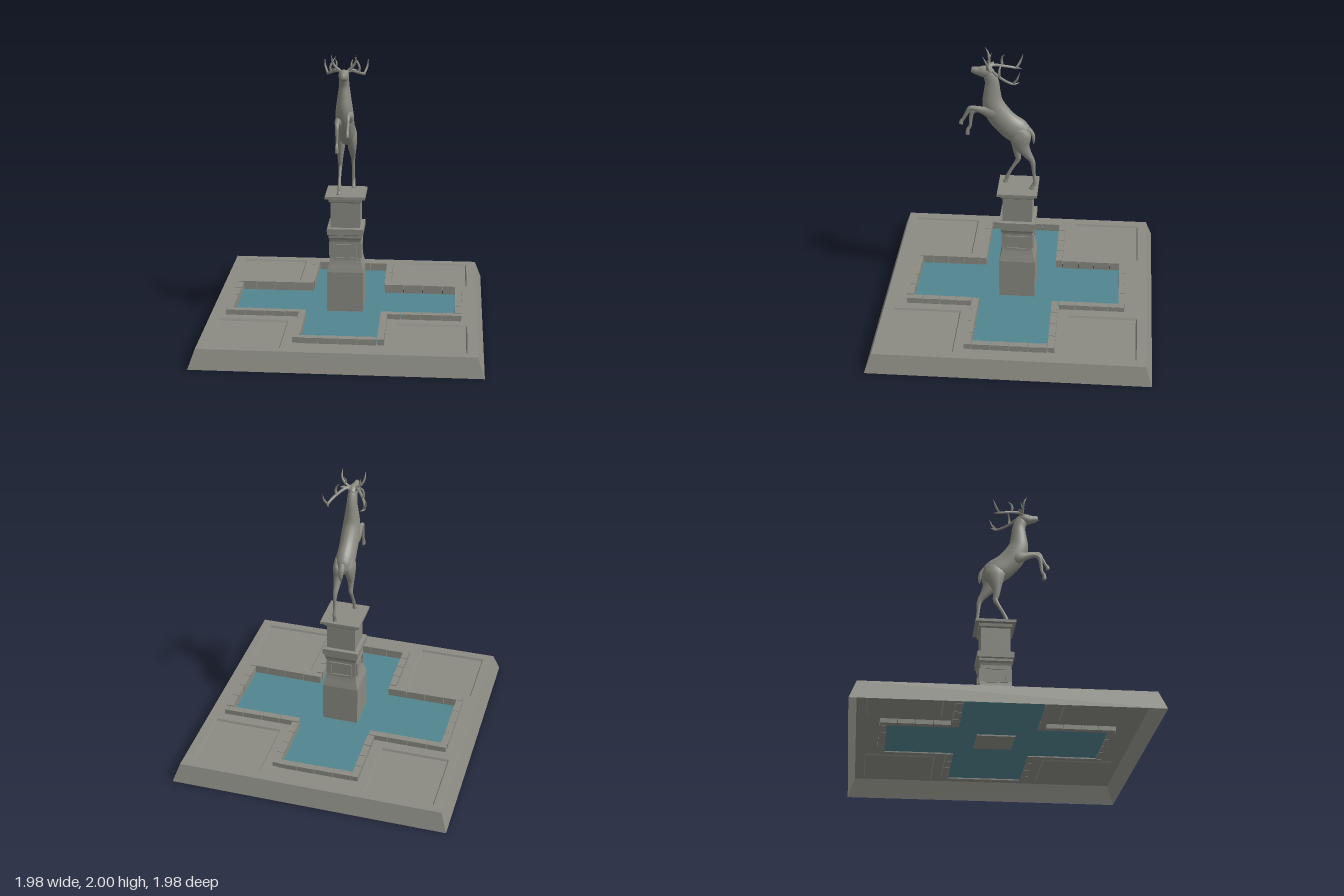
import * as THREE from 'three';

const stone = new THREE.MeshStandardMaterial({ color: 0x8b8b83, flatShading: true, side: THREE.DoubleSide });
const smooth = new THREE.MeshStandardMaterial({ color: 0x8b8b83, side: THREE.DoubleSide });
const blue = new THREE.MeshStandardMaterial({ color: 0x51868f, side: THREE.DoubleSide });

function add(parent, name, geometry, material = stone) {
  const mesh = new THREE.Mesh(geometry, material);
  mesh.name = name;
  parent.add(mesh);
  return mesh;
}

// Square solid of revolution from [halfWidth, y] pairs
function squareLathe(profile) {
  const pts = profile.map(([w, y]) => new THREE.Vector2(w * Math.SQRT2, y));
  return new THREE.LatheGeometry(pts, 4).rotateY(Math.PI / 4);
}

// Tapered organic form through sections [x, y, z, halfWidth, halfDepth]
function loft(sections, ref = [1, 0, 0], radial = 14) {
  const path = new THREE.CatmullRomCurve3(sections.map(s => new THREE.Vector3(s[0], s[1], s[2])));
  const size = new THREE.CatmullRomCurve3(
    sections.map(s => new THREE.Vector3(s[3], s[4] ?? s[3], 0)), false, 'catmullrom');
  const n = (sections.length - 1) * 4, pos = [], idx = [];
  for (let i = 0; i <= n; i++) {
    const c = path.getPoint(i / n), r = size.getPoint(i / n), t = path.getTangent(i / n);
    const side = new THREE.Vector3(...ref).addScaledVector(t, -t.dot(new THREE.Vector3(...ref))).normalize();
    const nrm = t.clone().cross(side);
    for (let k = 0; k < radial; k++) {
      const a = k / radial * Math.PI * 2;
      const p = c.clone().addScaledVector(side, Math.cos(a) * r.x).addScaledVector(nrm, Math.sin(a) * r.y);
      pos.push(p.x, p.y, p.z);
    }
  }
  const start = (n + 1) * radial;
  pos.push(...path.getPoint(0).toArray(), ...path.getPoint(1).toArray());
  for (let k = 0; k < radial; k++) {
    const k1 = (k + 1) % radial, last = n * radial;
    for (let i = 0; i < n; i++) {
      const a = i * radial + k, a1 = i * radial + k1;
      idx.push(a, a1, a + radial, a1, a1 + radial, a + radial);
    }
    idx.push(start, k1, k, start + 1, last + k, last + k1);
  }
  const g = new THREE.BufferGeometry();
  g.setAttribute('position', new THREE.Float32BufferAttribute(pos, 3));
  g.setIndex(idx);
  g.computeVertexNormals();
  return g;
}

const outline = pts => pts.map(([x, y]) => new THREE.Vector2(x, y));
const rect = (x0, y0, x1, y1) => outline([[x0, y0], [x1, y0], [x1, y1], [x0, y1]]);
const cross = (w, lx, lz) => outline([[w, w], [lx, w], [lx, -w], [w, -w], [w, -lz], [-w, -lz],
  [-w, -w], [-lx, -w], [-lx, w], [-w, w], [-w, lz], [w, lz]]);
const flat = (shape, y) => new THREE.ShapeGeometry(shape).rotateX(-Math.PI / 2).translate(0, y, 0);
const quadrants = [[1, 1], [1, -1], [-1, 1], [-1, -1]];

function buildBase(root) {
  const base = new THREE.Group();
  base.name = 'base';
  root.add(base);
  add(base, 'slopedSides', squareLathe([[0.99, 0], [0.943, 0.132]]));
  const deck = new THREE.Shape(rect(-0.943, -0.943, 0.943, 0.943));
  deck.holes.push(new THREE.Path(cross(0.285, 0.81, 0.765)));
  for (const [sx, sz] of quadrants) {
    const cx = sx * 0.627, cz = sz * 0.632;
    deck.holes.push(new THREE.Path(rect(cx - 0.247, -cz - 0.247, cx + 0.247, -cz + 0.247)));
    // Sunken square bed
    add(base, 'sunkenBed', squareLathe([[0, 0.117], [0.239, 0.117], [0.247, 0.132]])).position.set(cx, 0, cz);
  }
  add(base, 'deck', flat(deck, 0.132));
  add(base, 'water', flat(new THREE.Shape(cross(0.275, 0.795, 0.755)), 0.11), blue);

  // Coping stones around the cross-shaped pool
  let count = 0;
  const row = (x0, z0, x1, z1) => {
    const n = 4, alongX = x0 !== x1, step = ((x1 - x0) + (z1 - z0)) / n;
    for (let i = 0; i < n; i++) {
      const j = Math.sin(++count * 12.9) * 0.003, len = Math.abs(step) - 0.004;
      const g = new THREE.BoxGeometry(alongX ? len : 0.048, 0.07 + j, alongX ? 0.048 : len);
      const m = add(base, 'copingStone', g);
      const d = step * (i + 0.5);
      m.position.set(x0 + (alongX ? d : j), 0.136 + j / 2, z0 + (alongX ? j : d));
      m.rotation.set(alongX ? 0 : j * 4, j * 3, alongX ? j * 4 : 0);
    }
  };
  for (const s of [1, -1]) {
    row(-0.263, s * 0.765, 0.263, s * 0.765);
    row(s * 0.81, -0.263, s * 0.81, 0.263);
  }
  for (const [sx, sz] of quadrants) {
    row(sx * 0.265, sz * 0.29, sx * 0.835, sz * 0.29);
    row(sx * 0.287, sz * 0.315, sx * 0.287, sz * 0.788);
  }
}

function buildPedestal(root) {
  const pedestal = new THREE.Group();
  pedestal.name = 'pedestal';
  root.add(pedestal);
  add(pedestal, 'plinth', squareLathe([[0, 0.1], [0.13, 0.1], [0.13, 0.405], [0.122, 0.437], [0, 0.437]]));
  add(pedestal, 'shaft', squareLathe([[0.122, 0.437], [0.116, 0.46], [0.111, 0.485], [0.108, 0.51], [0.108, 0.63],
    [0.112, 0.645], [0.119, 0.66], [0.119, 0.678], [0.129, 0.684], [0.129, 0.728], [0.104, 0.732]]));
  add(pedestal, 'upperBlock', squareLathe([[0.104, 0.732], [0.104, 0.915], [0.115, 0.923], [0.118, 0.945],
    [0.142, 0.95], [0.142, 0.97], [0, 0.97]]));
  // Framed panel on each face
  const frame = new THREE.Shape(rect(-0.083, 0.5, 0.083, 0.612));
  frame.holes.push(new THREE.Path(rect(-0.068, 0.513, 0.068, 0.599)));
  const g = new THREE.ExtrudeGeometry(frame, { depth: 0.012, bevelEnabled: false }).translate(0, 0, 0.104);
  for (let i = 0; i < 4; i++) add(pedestal, 'panelFrame', g).rotation.y = i * Math.PI / 2;
}

function buildStag(root) {
  const stag = new THREE.Group();
  stag.name = 'stag';
  root.add(stag);
  const part = (name, sections, ref, radial) => add(stag, name, loft(sections, ref, radial), smooth);

  part('bodyAndNeck', [[0, 1.375, -0.085, 0.02, 0.03], [0, 1.385, -0.05, 0.052, 0.07], [0, 1.41, 0.008, 0.066, 0.092],
    [0, 1.47, 0.085, 0.064, 0.088], [0, 1.545, 0.145, 0.064, 0.084], [0, 1.62, 0.176, 0.058, 0.073],
    [0, 1.7, 0.18, 0.047, 0.059], [0, 1.78, 0.181, 0.036, 0.048], [0, 1.84, 0.202, 0.032, 0.043],
    [0, 1.872, 0.22, 0.02, 0.025]], undefined, 24);
  part('head', [[0, 1.853, 0.168, 0.014, 0.016], [0, 1.856, 0.2, 0.033, 0.037], [0, 1.855, 0.24, 0.035, 0.041],
    [0, 1.857, 0.275, 0.025, 0.031], [0, 1.863, 0.302, 0.02, 0.026], [0, 1.868, 0.322, 0.014, 0.018]], undefined, 18);
  part('tail', [[0, 1.43, -0.07, 0.018, 0.015], [0, 1.385, -0.1, 0.02, 0.014], [0, 1.34, -0.108, 0.014, 0.01],
    [0, 1.31, -0.106, 0.003]]);

  // Legs as [y, z, halfDepth, halfWidth], hip or shoulder to hoof
  const leg = (name, x0, x1, pts) => part(name, pts.map(([y, z, d, w], i) =>
    [x0 + (x1 - x0) * i / (pts.length - 1), y, z, w ?? d * 0.85, d]));
  leg('rightHindLeg', -0.038, -0.046, [[1.44, 0, 0.04, 0.025], [1.38, 0, 0.074, 0.036], [1.31, 0.006, 0.056, 0.032],
    [1.255, 0.012, 0.034, 0.024], [1.205, 0.01, 0.024, 0.018], [1.165, 0.004, 0.019, 0.014], [1.115, 0.03, 0.013],
    [1.06, 0.062, 0.012], [1.015, 0.082, 0.014], [0.995, 0.088, 0.013], [0.971, 0.096, 0.019]]);
  leg('leftHindLeg', 0.038, 0.046, [[1.44, -0.01, 0.04, 0.025], [1.38, -0.018, 0.074, 0.036], [1.31, -0.03, 0.054, 0.032],
    [1.25, -0.065, 0.033, 0.024], [1.2, -0.098, 0.021, 0.016], [1.165, -0.108, 0.017, 0.013], [1.11, -0.112, 0.013],
    [1.06, -0.117, 0.012], [1.025, -0.12, 0.014], [1, -0.108, 0.013], [0.971, -0.098, 0.019]]);
  leg('leftForeleg', 0.04, 0.036, [[1.55, 0.13, 0.035, 0.02], [1.56, 0.18, 0.047, 0.028], [1.577, 0.24, 0.029, 0.022],
    [1.59, 0.295, 0.019], [1.59, 0.33, 0.017], [1.55, 0.355, 0.013], [1.505, 0.38, 0.011], [1.487, 0.393, 0.013],
    [1.466, 0.395, 0.015]]);
  leg('rightForeleg', -0.04, -0.038, [[1.5, 0.12, 0.035, 0.02], [1.515, 0.17, 0.047, 0.028], [1.53, 0.23, 0.029, 0.022],
    [1.54, 0.285, 0.019], [1.525, 0.322, 0.017], [1.475, 0.335, 0.013], [1.41, 0.342, 0.011], [1.385, 0.357, 0.013],
    [1.345, 0.36, 0.015]]);

  // Ears, eyes and antlers, mirrored
  const tine = (name, s, pts) => part(name, pts.map(([x, y, z, r]) => [s * x, y, z, r]), undefined, 8);
  for (const s of [1, -1]) {
    part('ear', [[s * 0.02, 1.872, 0.195, 0.008], [s * 0.045, 1.885, 0.188, 0.013, 0.007],
      [s * 0.065, 1.89, 0.182, 0.012, 0.006], [s * 0.085, 1.89, 0.175, 0.002]], [0, 0, 1]);
    part('eye', [[s * 0.029, 1.868, 0.255, 0.005], [s * 0.033, 1.868, 0.257, 0.003]], [0, 0, 1], 8);
    tine('antlerBeam', s, [[0.018, 1.88, 0.215, 0.012], [0.05, 1.882, 0.175, 0.011], [0.09, 1.86, 0.125, 0.01],
      [0.122, 1.837, 0.06, 0.009], [0.128, 1.828, 0.02, 0.008], [0.112, 1.832, -0.015, 0.002]]);
    tine('browTine', s, [[0.025, 1.885, 0.205, 0.01], [0.06, 1.915, 0.205, 0.009], [0.08, 1.955, 0.212, 0.007],
      [0.082, 2.0, 0.235, 0.001]]);
    tine('sideTine', s, [[0.052, 1.905, 0.205, 0.007], [0.05, 1.935, 0.2, 0.006], [0.06, 1.965, 0.188, 0.001]]);
    tine('middleTine', s, [[0.095, 1.858, 0.118, 0.009], [0.1, 1.895, 0.122, 0.008], [0.085, 1.93, 0.115, 0.006],
      [0.065, 1.96, 0.095, 0.001]]);
    tine('rearTine', s, [[0.126, 1.83, 0.025, 0.008], [0.14, 1.86, 0.003, 0.008], [0.148, 1.885, -0.008, 0.006],
      [0.15, 1.925, -0.022, 0.001]]);
  }
}

export function createModel() {
  const root = new THREE.Group();
  root.name = 'stagFountain';
  buildBase(root);
  buildPedestal(root);
  buildStag(root);
  return root;
}
